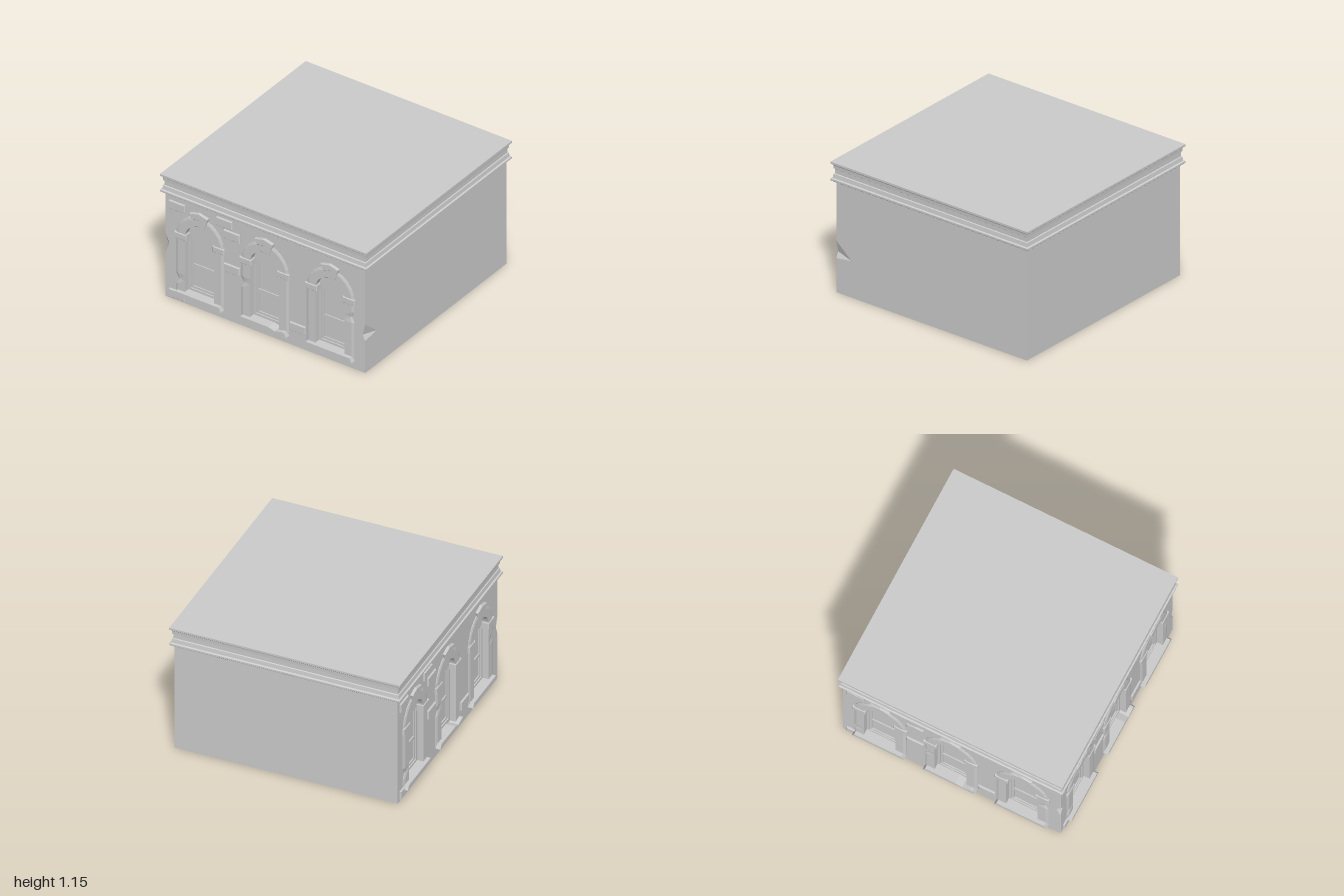
import * as THREE from 'three';

const mat = new THREE.MeshStandardMaterial({ color: 0xcccccc, flatShading: true, side: THREE.DoubleSide });
const HALF = 0.96, SPRING = 0.63, TOP = 1.0;

function add(parent, name, geometry) {
  const mesh = new THREE.Mesh(geometry, mat);
  mesh.name = name;
  parent.add(mesh);
  return mesh;
}

const outline = (pts) => new THREE.Shape(pts.map(([x, y]) => new THREE.Vector2(x, y)));
const rect = (x0, y0, x1, y1) => [[x0, y0], [x1, y0], [x1, y1], [x0, y1]];

// Extruded outline running from z0 to z1, with an optional bevel kept inside the outline
function slab(shape, z0, z1, bevel = 0) {
  return new THREE.ExtrudeGeometry(shape, {
    depth: z1 - z0 - bevel, bevelEnabled: bevel > 0, bevelSize: bevel, bevelThickness: bevel,
    bevelOffset: -bevel, bevelSegments: 1, curveSegments: 12,
  }).translate(0, 0, z0);
}

// Round-headed opening of half width w
function archOutline(cx, w, y0) {
  const pts = [[cx - w, y0], [cx + w, y0]];
  for (let i = 0; i <= 12; i++) {
    const a = (i / 12) * Math.PI;
    pts.push([cx + w * Math.cos(a), SPRING + w * Math.sin(a)]);
  }
  return outline(pts);
}

// Moulding profile [half width, z] swept up one jamb, round the arch and down the other
function archMoulding(profile, y0, chip) {
  const stations = [];
  const jamb = (side) => {
    const list = [{ side, y: y0 }];
    if (chip && chip.side === side) {
      for (const d of [-0.05, 0, 0.05]) list.push({ side, y: chip.y + d, worn: d === 0 });
    }
    return list;
  };
  stations.push(...jamb(1));
  for (let i = 0; i <= 12; i++) stations.push({ angle: (i / 12) * Math.PI });
  stations.push(...jamb(-1).reverse());

  const pos = [], index = [], n = profile.length;
  stations.forEach((s, i) => {
    profile.forEach(([w, z], j) => {
      if (s.worn && j < 3) { w = Math.min(w, 0.195 + 0.005 * (2 - j)); z *= 0.4; }
      if (s.angle === undefined) pos.push(s.side * w, s.y, z);
      else pos.push(w * Math.cos(s.angle), SPRING + w * Math.sin(s.angle), z);
      if (i && j) {
        const a = (i - 1) * n + j - 1, b = a + n;
        index.push(a, b, a + 1, b, b + 1, a + 1);
      }
    });
  });
  const g = new THREE.BufferGeometry();
  g.setAttribute('position', new THREE.Float32BufferAttribute(pos, 3));
  g.setIndex(index);
  g.computeVertexNormals();
  return g;
}

function createWindow({ x, chip, wornSill }) {
  const win = new THREE.Group();
  win.name = 'archedWindow';
  win.position.x = x;

  // Architrave with its reveal
  add(win, 'architrave', archMoulding(
    [[0.23, 0], [0.23, 0.005], [0.207, 0.012], [0.14, 0.012], [0.14, -0.06]], 0.1, chip));

  // Arched panel holding the sashes
  const panel = archOutline(0, 0.145, 0.1);
  panel.holes.push(outline(rect(-0.118, 0.135, 0.118, 0.63)));
  add(win, 'archPanel', slab(panel, -0.06, -0.04));

  // Two sashes and the glass behind them
  const sash = outline(rect(-0.12, 0.13, 0.12, 0.635));
  sash.holes.push(outline(rect(-0.1, 0.155, 0.1, 0.335)), outline(rect(-0.1, 0.365, 0.1, 0.61)));
  add(win, 'sash', slab(sash, -0.065, -0.05));
  add(win, 'glass', new THREE.BoxGeometry(0.24, 0.51, 0.01).translate(0, 0.385, -0.065));

  // Sill with splayed ends
  const top = wornSill ? [[0.19, 0.115], [0.12, 0.098], [0.06, 0.115]] : [];
  add(win, 'sill', slab(outline([[-0.23, 0.075], [0.23, 0.075], [0.21, 0.115], ...top, [-0.21, 0.115]]), -0.06, 0.045));

  // Impost blocks at the springing
  for (const s of [-1, 1]) {
    add(win, 'impost', slab(outline(rect(-0.058, 0.595, 0.058, 0.652)), -0.04, 0.018, 0.006)).position.x = s * 0.182;
  }

  // Stepped keystone
  add(win, 'keystone', slab(outline(
    [[-0.046, 0.762], [-0.02, 0.773], [0.02, 0.773], [0.046, 0.762], [0.072, 0.835], [0, 0.85], [-0.072, 0.835]]),
    -0.03, 0.018, 0.005));
  add(win, 'keystoneCap', slab(outline(
    [[-0.068, 0.825], [0, 0.842], [0.068, 0.825], [0.088, 0.882], [0, 0.905], [-0.088, 0.882]]),
    -0.01, 0.023, 0.006));
  return win;
}

// One decorated face, built facing +z
function createFacade(wallPoints) {
  const facade = new THREE.Group();
  facade.name = 'facade';
  const windows = [
    { x: -0.628, chip: { side: -1, y: 0.22 } },
    { x: -0.002, chip: { side: -1, y: 0.42 }, wornSill: true },
    { x: 0.629, chip: { side: 1, y: 0.48 } },
  ];
  const wall = outline(wallPoints);
  for (const w of windows) {
    wall.holes.push(archOutline(w.x, 0.14, 0.1));
    facade.add(createWindow(w));
  }
  add(facade, 'wall', new THREE.ShapeGeometry(wall));

  // Exposed bricks: left edge and bottom edge
  for (const [x, y] of [[-0.922, 0.845], [-0.465, 0.86], [-0.393, 0.765], [-0.393, 0.453], [0.24, 0.14], [-0.922, 0.017]]) {
    add(facade, 'brick', slab(outline(rect(x, y, x + 0.152, y + 0.078)), -0.01, 0.015, 0.006));
  }
  facade.children.forEach((c) => { c.position.z += HALF; });
  return facade;
}

// Broken corner: two facets between the ends of the break and its depth on each wall
function createBreak(a, b, c, d) {
  const g = new THREE.BufferGeometry();
  g.setAttribute('position', new THREE.Float32BufferAttribute([a, d, c, d, b, c].flat(), 3));
  g.computeVertexNormals();
  return g;
}

export function createModel() {
  const model = new THREE.Group();
  model.name = 'building';
  const body = new THREE.Group();
  body.name = 'storey';
  body.position.set(0.005, 0, -0.005);
  model.add(body);
  const H = HALF;

  // Two window faces, the second turned towards -x
  body.add(createFacade([
    [-H, 0], [H, 0], [H, 0.30], [0.935, 0.35], [H, 0.455], [H, TOP],
    [-H, TOP], [-H, 0.59], [-0.925, 0.51], [-H, 0.42]]));
  const side = createFacade([
    [-H, 0], [H, 0], [H, 0.42], [0.93, 0.5], [H, 0.59], [H, TOP], [-H, TOP]]);
  side.rotation.y = -Math.PI / 2;
  side.position.z = -0.005;
  body.add(side);

  // Plain walls and floor
  const right = outline([[-H, 0], [H, 0], [H, TOP], [-H, TOP], [-H, 0.455], [-0.805, 0.32], [-H, 0.30]]);
  add(body, 'rightWall', new THREE.ShapeGeometry(right).translate(0, 0, H).rotateY(Math.PI / 2));
  add(body, 'backWall', new THREE.ShapeGeometry(outline(rect(-H, 0, H, TOP))).translate(0, 0, H).rotateY(Math.PI));
  add(body, 'floor', new THREE.PlaneGeometry(2 * H, 2 * H).rotateX(Math.PI / 2));

  // Broken corners
  add(body, 'cornerBreak', createBreak([H, 0.455, H], [H, 0.30, H], [H, 0.32, 0.805], [0.935, 0.35, H]));
  add(body, 'cornerBreak', createBreak([-H, 0.59, H], [-H, 0.42, H], [-H, 0.5, 0.93], [-0.925, 0.51, H]));

  // Square cornice and flat roof
  const cornice = [
    [0.95, 0.98], [0.985, 0.98], [0.9925, 0.987], [0.9925, 1.002], [0.98, 1.008], [0.975, 1.042],
    [0.968, 1.047], [0.968, 1.085], [0.975, 1.09], [0.977, 1.118], [0.985, 1.128], [0.9925, 1.132],
    [0.9925, 1.15], [0, 1.15],
  ].map(([r, y]) => new THREE.Vector2(r * Math.SQRT2, y));
  add(body, 'cornice', new THREE.LatheGeometry(cornice, 4).rotateY(Math.PI / 4));

  return model;
}
